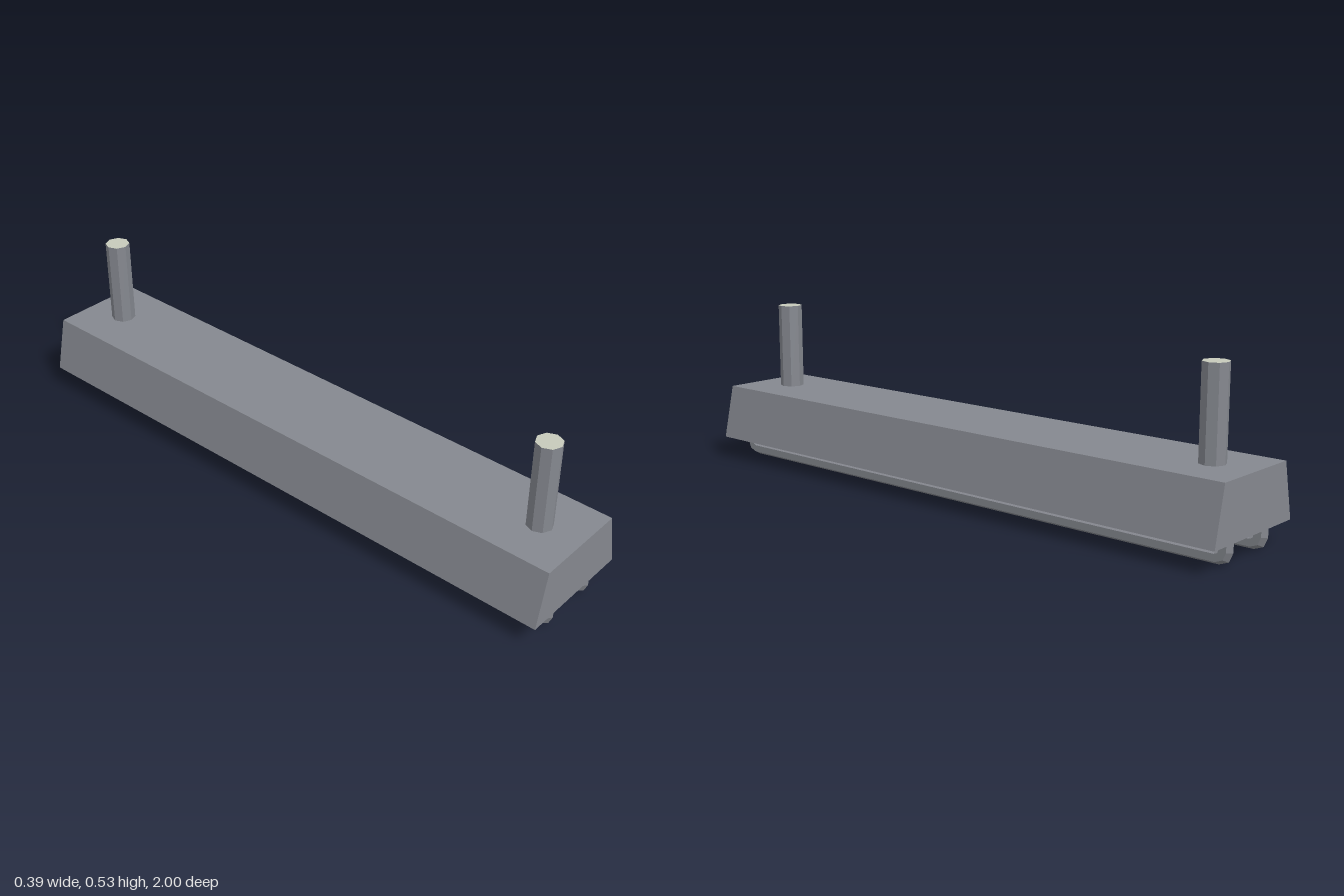
import * as THREE from 'three';

// Flat-shaded skin through a sequence of rings of equal point count
// (each ring runs counter-clockwise seen from the start of the sequence).
function loft(rings) {
  const pos = [];
  const n = rings[0].length;
  for (let i = 0; i < rings.length - 1; i++) {
    for (let j = 0; j < n; j++) {
      const k = (j + 1) % n;
      const a = rings[i][j], b = rings[i][k], c = rings[i + 1][k], d = rings[i + 1][j];
      for (const p of [a, d, c, a, c, b]) pos.push(p.x, p.y, p.z);
    }
  }
  const g = new THREE.BufferGeometry();
  g.setAttribute('position', new THREE.Float32BufferAttribute(pos, 3));
  g.computeVertexNormals();
  return g;
}

const rectRing = (hx, hz, y) =>
  [[1, 1], [1, -1], [-1, -1], [-1, 1]].map(([sx, sz]) => new THREE.Vector3(sx * hx, y, sz * hz));

// Hexagonal rod swept along a path in the z-y plane, mitred at each bend
function rodGeometry(path, r) {
  const normals = path.slice(1).map((p, i) => {
    const t = p.clone().sub(path[i]).normalize();
    return new THREE.Vector2(-t.y, t.x);
  });
  const rings = path.map((p, i) => {
    const n0 = normals[Math.max(i - 1, 0)];
    const n1 = normals[Math.min(i, normals.length - 1)];
    const m = n0.clone().add(n1).normalize();
    m.divideScalar(m.dot(n1));
    return Array.from({ length: 6 }, (_, j) => {
      const a = Math.PI / 6 + j * Math.PI / 3;
      const off = -r * Math.sin(a);
      return new THREE.Vector3(r * Math.cos(a), p.y + m.y * off, p.x + m.x * off);
    });
  });
  return loft(rings);
}

export function createModel() {
  const metal = new THREE.MeshStandardMaterial({ color: 0x85888f });
  metal.name = 'grey metal';
  const pale = new THREE.MeshStandardMaterial({ color: 0xc6cabb });
  pale.name = 'pale panel';

  const model = new THREE.Group();
  const add = (name, geometry, material, x = 0, y = 0, z = 0) => {
    const mesh = new THREE.Mesh(geometry, material);
    mesh.name = name;
    mesh.position.set(x, y, z);
    model.add(mesh);
    return mesh;
  };

  // Tapered housing: sides, bottom rim and recess walls
  const top = 0.248, bottom = 0.072, recess = 0.102;
  const inX = 0.153, inZ = 0.95;
  add('housing', loft([
    rectRing(0.158, 1, top),
    rectRing(0.197, 1, bottom),
    rectRing(inX, inZ, bottom),
    rectRing(inX, inZ, recess),
  ]), metal);
  add('housingTop', new THREE.PlaneGeometry(0.316, 2).rotateX(-Math.PI / 2), metal, 0, top, 0);

  // Pale panel set into the underside
  add('undersidePanel', new THREE.PlaneGeometry(inX * 2, inZ * 2).rotateX(Math.PI / 2), pale, 0, recess, 0);

  // Two octagonal mounting posts with pale ends
  const postHeight = 0.283;
  const post = new THREE.CylinderGeometry(0.04, 0.04, postHeight, 8).toNonIndexed();
  post.computeVertexNormals();
  for (const [name, z] of [['frontPost', 0.864], ['backPost', -0.864]]) {
    add(name, post, [metal, pale, metal], 0, top + postHeight / 2, z);
  }

  // Two guard rods under the housing, bent up into the rim at both ends
  const end = [[0.97, 0.08], [0.97, 0.045], [0.963, 0.029], [0.945, 0.022]];
  const path = [...end, ...end.map(([z, y]) => [-z, y]).reverse()].map(([z, y]) => new THREE.Vector2(z, y));
  const rod = rodGeometry(path, 0.022);
  add('leftRod', rod, metal, 0.089);
  add('rightRod', rod, metal, -0.092);

  return model;
}
